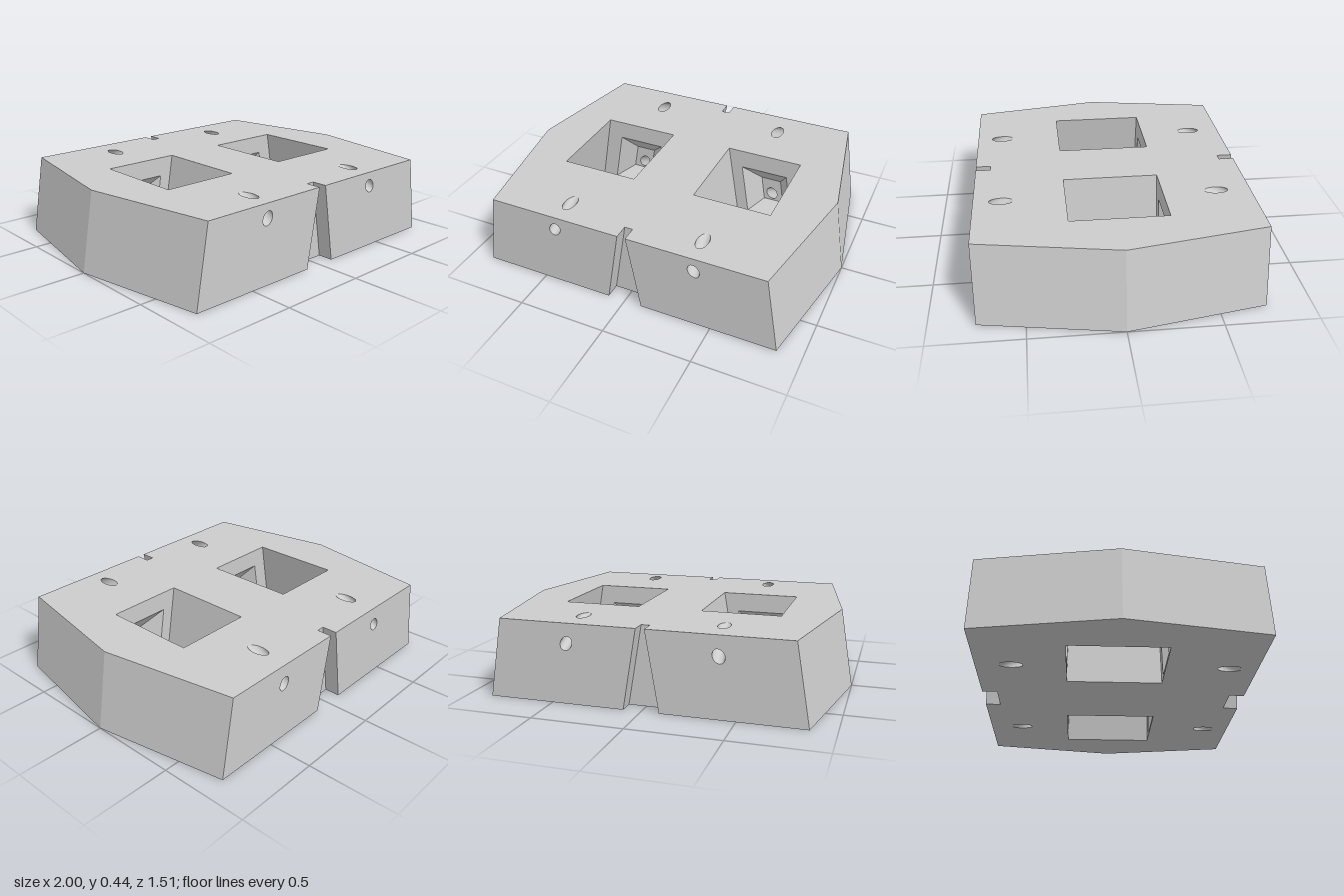
import * as THREE from 'three';

const H = 0.44, LEAN = 0.17, END = 0.755;

// every wall of each half leans outward towards the bottom
const at = (u, y, z) => new THREE.Vector3(u + Math.sign(u) * LEAN * (H - y), y, z);

const rect = (u0, u1, v0, v1) => [[u0, v0], [u1, v0], [u1, v1], [u0, v1]];
const ellipse = (u, v, ru, rv) => Array.from({ length: 24 }, (_, i) => {
  const t = (i / 24) * Math.PI * 2;
  return [u + ru * Math.cos(t), v + rv * Math.sin(t)];
});

export function createModel() {
  const group = new THREE.Group();
  const solid = new THREE.MeshStandardMaterial({ color: 0xcccccc });
  const open = new THREE.MeshStandardMaterial({ color: 0xcccccc, side: THREE.DoubleSide });

  const add = (name, geometry, material) => {
    const mesh = new THREE.Mesh(geometry, material);
    mesh.name = name;
    group.add(mesh);
  };

  // flat face with holes, placed by a mapping of its 2D points
  const plate = (name, outline, holes, place, flip) => {
    const toV2 = (pts) => pts.map(([a, b]) => new THREE.Vector2(a, b));
    const shape = new THREE.Shape(toV2(outline));
    shape.holes = holes.map((h) => new THREE.Path(toV2(h)));
    const g = new THREE.ShapeGeometry(shape);
    const p = g.attributes.position;
    for (let i = 0; i < p.count; i++) {
      const v = place(p.getX(i), p.getY(i));
      p.setXYZ(i, v.x, v.y, v.z);
    }
    if (flip) g.index.array.reverse();
    g.computeVertexNormals();
    add(name, g, solid);
  };

  // ruled surface between two rows of points
  const loft = (name, a, b, closed, smooth) => {
    const n = a.length, index = [];
    for (let i = 0; i < (closed ? n : n - 1); i++) {
      const j = (i + 1) % n;
      index.push(i, j, n + j, i, n + j, n + i);
    }
    let g = new THREE.BufferGeometry().setFromPoints([...a, ...b]);
    g.setIndex(index);
    if (!smooth) g = g.toNonIndexed();
    g.computeVertexNormals();
    add(name, g, closed ? open : solid);
  };
  const wall = (name, path) => loft(name,
    path.map(([u, z]) => at(u, 0, z)), path.map(([u, z]) => at(u, H, z)), false, false);

  // plan outline with the end notches
  const side = [[0.79, END], [0.925, 0], [0.79, -END]];
  const notch = [[-0.023, END], [-0.023, 0.67], [0.023, 0.67], [0.023, END]];
  const turn = (pts) => pts.map(([u, z]) => [-u, -z]);
  const plan = [...notch, ...side, ...turn(notch), ...turn(side)];

  const ends = [
    { dir: 1, label: 'front', hole: 0.605, exitY: 0.36, window: 0.26, pocketY: 0.135 },
    { dir: -1, label: 'back', hole: -0.565, exitY: 0.33, window: -0.27, pocketY: 0.12 },
  ];
  const U = 0.39, R = 0.033, RY = 0.038, RZ = 0.065;

  // top and bottom faces
  const openings = [];
  for (const s of [1, -1]) {
    openings.push(rect(s * 0.185, s * 0.63, -0.27, 0.26));
    for (const e of ends) openings.push(ellipse(s * U, e.hole, R, RZ));
  }
  plate('topFace', plan, openings, (u, z) => at(u, H, z), true);
  plate('bottomFace', plan, openings, (u, z) => at(u, 0, z), false);

  // outer sides and notches
  wall('leftSide', side);
  wall('rightSide', turn(side));
  wall('frontNotch', notch);
  wall('backNotch', turn(notch));

  for (const s of [1, -1]) {
    const half = s > 0 ? 'left' : 'right';

    // window walls across the width
    const inner = [[s * 0.185, 0.26], [s * 0.185, -0.27]];
    const outer = [[s * 0.63, -0.27], [s * 0.63, 0.26]];
    for (const path of [inner, outer]) wall(half + 'WindowWall', s > 0 ? path : path.reverse());

    for (const e of ends) {
      const name = half + e.label[0].toUpperCase() + e.label.slice(1);
      const onZ = (z) => (u, y) => at(u, y, z);
      const ring = (pts, z) => pts.map(([u, y]) => at(u, y, z));
      const flatRing = (y) => ellipse(s * U, 0, R, e.dir * RZ).map(([u, d]) => at(u, y, e.hole + d));

      // end face and the slanted hole up to the top
      const exit = ellipse(s * U, e.exitY, R, RY);
      plate(name + 'EndFace', rect(s * 0.023, s * 0.79, 0, H), [exit], onZ(e.dir * END), e.dir < 0);
      loft(name + 'UpperTunnel', flatRing(H), ring(exit, e.dir * END), true, true);

      // window wall with a tapered pocket
      const mouth = rect(s * 0.255, s * 0.535, 0.02, 0.33);
      const throat = rect(s * 0.335, s * 0.455, 0.07, 0.22);
      const deep = e.window + e.dir * 0.1;
      plate(name + 'WindowWall', rect(s * 0.185, s * 0.63, 0, H), [mouth], onZ(e.window), e.dir > 0);
      loft(name + 'Pocket', ring(mouth, e.window), ring(throat, deep), true, false);

      // pocket end and the slanted hole down to the bottom
      const port = ellipse(s * U, e.pocketY, R, RY);
      plate(name + 'PocketEnd', throat, [port], onZ(deep), e.dir > 0);
      loft(name + 'LowerTunnel', flatRing(0), ring(port, deep), true, true);
    }
  }
  return group;
}
